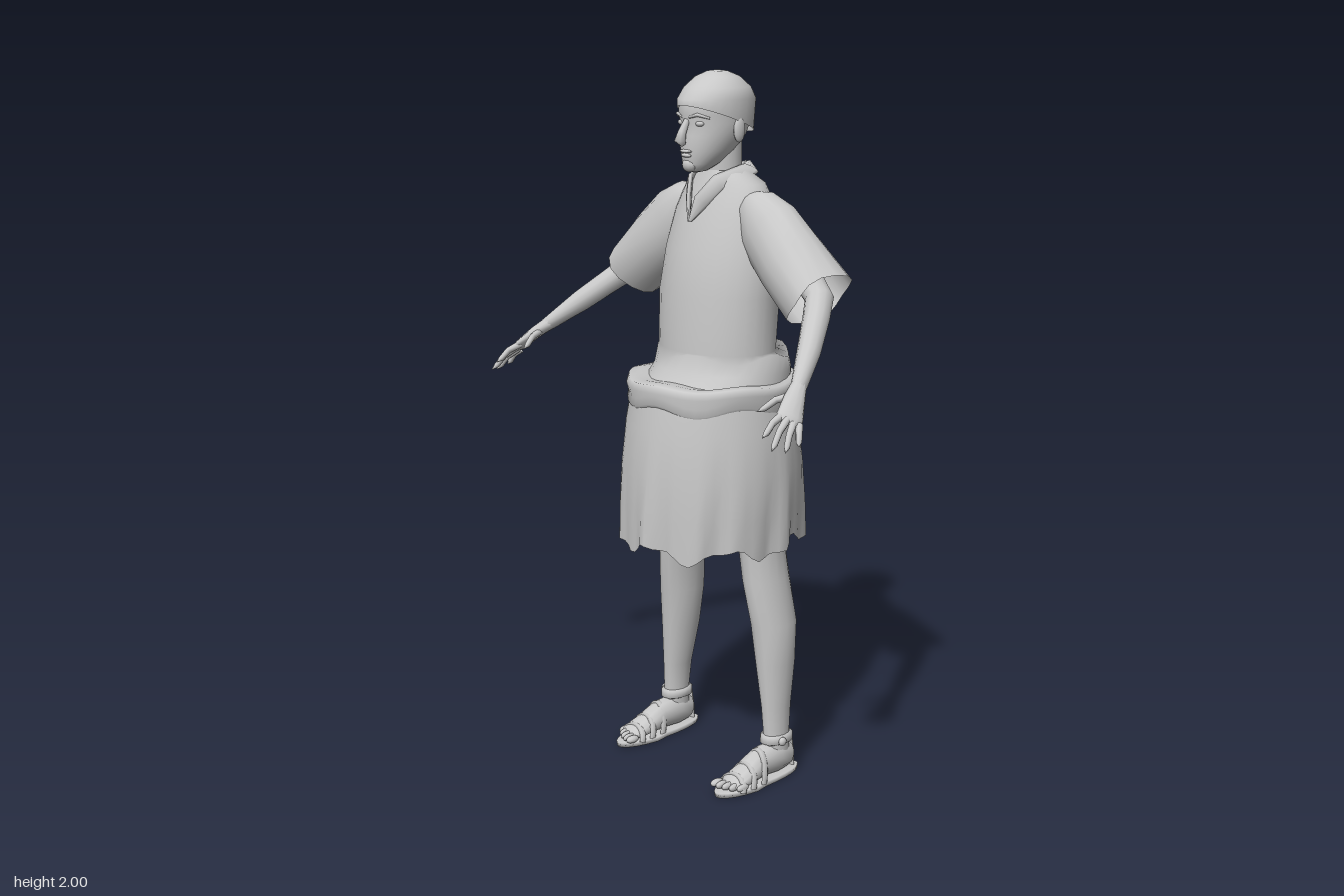
import * as THREE from 'three';

const cloth = new THREE.MeshStandardMaterial({ color: 0xc8c8c8, side: THREE.DoubleSide });
cloth.name = 'plain grey';

// Join rings of equal point count into one smooth skin
function skin(name, rings) {
  const n = rings[0].length, pos = [], idx = [];
  rings.forEach(r => r.forEach(p => pos.push(p.x, p.y, p.z)));
  for (let i = 0; i < rings.length - 1; i++)
    for (let j = 0; j < n; j++) {
      const a = i * n + j, b = i * n + (j + 1) % n;
      idx.push(a, b, b + n, a, b + n, a + n);
    }
  const g = new THREE.BufferGeometry();
  g.setAttribute('position', new THREE.Float32BufferAttribute(pos, 3));
  g.setIndex(idx);
  g.computeVertexNormals();
  const m = new THREE.Mesh(g, cloth);
  m.name = name;
  return m;
}

// Level cross-sections from bottom to top: [y, centre x, half width, front z, back z]
function loft(name, sections, n = 24, warp) {
  return skin(name, sections.map(([y, cx, rx, zf, zb], i) =>
    Array.from({ length: n }, (_, j) => {
      const a = j / n * Math.PI * 2;
      const p = new THREE.Vector3(cx + rx * Math.sin(a), y, (zf + zb) / 2 + (zf - zb) / 2 * Math.cos(a));
      if (warp) warp(p, a, i);
      return p;
    })));
}

// Limb along a path: [x, y, z, radius across, radius along ref]
function limb(name, path, ref = [0, 0, 1], n = 12, warp) {
  const c = path.map(p => new THREE.Vector3(p[0], p[1], p[2]));
  return skin(name, path.map((p, i) => {
    const d = c[Math.min(i + 1, c.length - 1)].clone().sub(c[Math.max(i - 1, 0)]).normalize();
    const v = new THREE.Vector3(...ref);
    v.addScaledVector(d, -v.dot(d)).normalize();
    const u = d.clone().cross(v);
    return Array.from({ length: n }, (_, j) => {
      const a = j / n * Math.PI * 2;
      const q = c[i].clone().addScaledVector(u, p[3] * Math.sin(a)).addScaledVector(v, p[4] * Math.cos(a));
      if (warp) warp(q, a, i);
      return q;
    });
  }));
}

function ball(name, x, y, z, rx, ry, rz) {
  const m = new THREE.Mesh(new THREE.SphereGeometry(1, 12, 8), cloth);
  m.position.set(x, y, z);
  m.scale.set(rx, ry, rz);
  m.name = name;
  return m;
}

function makeHead() {
  const g = new THREE.Group();
  g.name = 'head';
  g.add(loft('neck', [[1.6, 0, 0.06, -0.01, -0.13], [1.7, 0, 0.054, -0.015, -0.125], [1.82, 0, 0.056, -0.01, -0.125]], 16));
  g.add(loft('face', [
    [1.73, 0, 0.004, 0.03, 0.02], [1.735, 0, 0.025, 0.052, -0.01], [1.755, 0, 0.046, 0.06, -0.05],
    [1.79, 0, 0.066, 0.062, -0.1], [1.83, 0, 0.08, 0.062, -0.135], [1.862, 0, 0.085, 0.055, -0.148],
    [1.885, 0, 0.086, 0.064, -0.15], [1.93, 0, 0.086, 0.06, -0.155], [1.97, 0, 0.06, 0.02, -0.12]]));
  // Close cap, its rim high on the brow and low at the nape
  g.add(loft('cap', [
    [1.87, 0, 0.091, 0.068, -0.16], [1.925, 0, 0.093, 0.067, -0.168], [1.955, 0, 0.084, 0.045, -0.15],
    [1.983, 0, 0.058, 0.01, -0.115], [1.997, 0, 0.028, -0.025, -0.08], [2, 0, 0.001, -0.05, -0.052]], 24,
    (p, a, i) => { if (i === 0) p.y += 0.04 * Math.cos(a); }));
  g.add(limb('nose', [[0, 1.872, 0.056, 0.008, 0.008], [0, 1.84, 0.073, 0.011, 0.012],
    [0, 1.818, 0.081, 0.017, 0.014], [0, 1.808, 0.07, 0.01, 0.008]], [0, 0, 1], 8));
  g.add(ball('upperLip', 0, 1.789, 0.06, 0.024, 0.005, 0.009));
  g.add(ball('lowerLip', 0, 1.778, 0.058, 0.02, 0.006, 0.009));
  g.add(ball('chin', 0, 1.752, 0.047, 0.024, 0.02, 0.018));
  for (const s of [-1, 1]) {
    g.add(ball('eye', s * 0.036, 1.863, 0.042, 0.014, 0.008, 0.01));
    g.add(limb('brow', [[s * 0.014, 1.88, 0.06, 0.004, 0.004], [s * 0.04, 1.887, 0.054, 0.005, 0.005],
      [s * 0.064, 1.878, 0.03, 0.003, 0.003]], [0, 1, 0], 6));
    g.add(ball('ear', s * 0.086, 1.845, -0.055, 0.01, 0.034, 0.019));
  }
  return g;
}

function makeClothes() {
  const g = new THREE.Group();
  g.name = 'clothes';
  g.add(loft('tunic', [
    [1.14, 0, 0.215, 0.15, -0.255], [1.19, 0, 0.208, 0.105, -0.252], [1.232, 0, 0.2, 0.094, -0.245],
    [1.245, 0, 0.188, 0.09, -0.195], [1.4, 0, 0.19, 0.085, -0.2], [1.52, 0, 0.186, 0.06, -0.212],
    [1.62, 0, 0.165, 0.03, -0.2], [1.7, 0, 0.13, -0.002, -0.17], [1.735, 0, 0.07, -0.015, -0.135]], 32,
    (p, a, i) => {
      if (i === 2) p.y += 0.012 * Math.sin(5 * a);
      // Two soft hollows down the back
      if (i > 3 && i < 7) p.z += 0.012 * Math.max(0, -Math.cos(a)) * Math.cos(6 * a + Math.PI);
    }));
  // Skirt with folds that deepen towards the ragged hem
  g.add(loft('skirt', [
    [0.7, 0, 0.25, 0.225, -0.3], [0.8, 0, 0.254, 0.225, -0.297], [0.92, 0, 0.256, 0.22, -0.29],
    [1.04, 0, 0.243, 0.208, -0.278], [1.14, 0, 0.225, 0.19, -0.265]], 72,
    (p, a, i) => {
      const fold = Math.sin(11 * a + 1) * 0.6 + Math.sin(19 * a) * 0.4;
      const k = 1 + [0.055, 0.035, 0.008, 0, 0][i] * fold;
      p.x *= k;
      p.z = -0.036 + (p.z + 0.036) * k;
      if (i === 0) p.y += 0.018 * Math.sin(7 * a + 0.5) + 0.008 * Math.cos(16 * a);
    }));
  // Rolled sash
  g.add(loft('sash', [
    [1.09, 0, 0.225, 0.19, -0.265], [1.105, 0, 0.236, 0.205, -0.28], [1.125, 0, 0.232, 0.2, -0.275],
    [1.145, 0, 0.24, 0.207, -0.285], [1.165, 0, 0.234, 0.2, -0.28], [1.168, 0, 0.212, 0.17, -0.258],
    [1.158, 0, 0.2, 0.1, -0.245]], 48,
    (p, a, i) => { p.y += (i < 3 ? 0.012 : 0.004) * Math.sin(6 * a + 0.7); }));
  for (const s of [-1, 1]) {
    g.add(limb('collar', [
      [0, 1.735, -0.15, 0.025, 0.006], [s * 0.05, 1.735, -0.13, 0.025, 0.006],
      [s * 0.076, 1.725, -0.07, 0.024, 0.007], [s * 0.058, 1.705, -0.005, 0.024, 0.008],
      [s * 0.026, 1.655, 0.028, 0.022, 0.008], [s * 0.002, 1.6, 0.048, 0.005, 0.004]],
      [s * 0.7, 0.25, 0.5], 8));
    // Wide open sleeve
    g.add(limb('sleeve', [
      [s * 0.11, 1.67, -0.075, 0.02, 0.03], [s * 0.13, 1.645, -0.077, 0.062, 0.058],
      [s * 0.18, 1.585, -0.08, 0.098, 0.078], [s * 0.27, 1.505, -0.08, 0.1, 0.093],
      [s * 0.375, 1.42, -0.08, 0.094, 0.1]], [0, 0, 1], 16,
      (p, a, i) => { if (i === 4) p.x += s * 0.012 * Math.cos(3 * a); }));
  }
  return g;
}

function makeArm(s) {
  const g = new THREE.Group();
  g.name = s > 0 ? 'leftArm' : 'rightArm';
  g.add(limb('arm', [
    [s * 0.22, 1.56, -0.08, 0.045, 0.045], [s * 0.32, 1.475, -0.085, 0.04, 0.042],
    [s * 0.38, 1.425, -0.075, 0.036, 0.04], [s * 0.42, 1.385, -0.025, 0.035, 0.036],
    [s * 0.48, 1.315, 0.06, 0.031, 0.031], [s * 0.535, 1.245, 0.148, 0.019, 0.021]], [0, 0, 1]));
  g.add(limb('palm', [
    [s * 0.528, 1.253, 0.138, 0.02, 0.02], [s * 0.55, 1.225, 0.175, 0.017, 0.028],
    [s * 0.575, 1.188, 0.215, 0.013, 0.035], [s * 0.581, 1.178, 0.226, 0.006, 0.028]], [-s * 0.6, 0.4, 0.6]));
  // Four fingers and a thumb: knuckle then tip
  [[0.56, 1.195, 0.225, 0.57, 1.15, 0.303], [0.575, 1.185, 0.225, 0.6, 1.122, 0.3],
    [0.587, 1.175, 0.215, 0.618, 1.116, 0.27], [0.593, 1.17, 0.2, 0.622, 1.125, 0.228],
    [0.537, 1.232, 0.165, 0.498, 1.195, 0.255]].forEach(([x, y, z, u, v, w], i) => {
    g.add(limb(i < 4 ? 'finger' : 'thumb', [
      [s * x, y, z, 0.01, 0.011], [s * (x + u) / 2, (y + v) / 2 + 0.008, (z + w) / 2, 0.009, 0.009],
      [s * (x + 4 * u) / 5, (y + 4 * v) / 5, (z + 4 * w) / 5, 0.008, 0.008], [s * u, v, w, 0.001, 0.001]], [0.2, 0.8, 0.5], 8));
  });
  return g;
}

function makeLeg(s) {
  const g = new THREE.Group();
  g.name = s > 0 ? 'leftLeg' : 'rightLeg';
  const f = s * 0.222;
  g.add(loft('leg', [
    [0.05, f, 0.032, -0.045, -0.13], [0.13, f, 0.03, -0.045, -0.13], [0.22, s * 0.218, 0.034, -0.04, -0.138],
    [0.35, s * 0.208, 0.048, -0.03, -0.157], [0.47, s * 0.2, 0.058, -0.02, -0.165],
    [0.6, s * 0.182, 0.05, 0, -0.157], [0.7, s * 0.166, 0.055, 0, -0.15], [0.95, s * 0.12, 0.085, 0.05, -0.18]], 16));
  g.add(limb('foot', [
    [f, 0.05, -0.148, 0.004, 0.004], [f, 0.056, -0.132, 0.028, 0.036], [f, 0.065, -0.085, 0.036, 0.05],
    [f, 0.062, -0.02, 0.037, 0.044], [f + s * 0.004, 0.043, 0.04, 0.042, 0.028],
    [f + s * 0.005, 0.032, 0.085, 0.042, 0.016], [f + s * 0.005, 0.028, 0.1, 0.03, 0.006]], [0, 1, 0]));
  for (let i = 0; i < 5; i++)
    g.add(ball('toe', f + s * (i * 0.0185 - 0.031), 0.029, 0.113 - i * i * 0.002, i ? 0.009 : 0.013, 0.011, 0.022));
  // Flat sole, narrowed at the instep
  g.add(loft('sole', [[0.003, f, 0.001, -0.015, -0.02], [0.003, f, 0.048, 0.142, -0.168],
    [0.018, f, 0.05, 0.144, -0.17], [0.018, f, 0.001, -0.015, -0.02]], 24,
    p => { p.x = f + (p.x - f) * (p.z > 0.02 ? 1.06 : 0.85); }));
  // Sandal straps arching over the foot: [z, height, half width]
  for (const [z, h, w] of [[0.085, 0.054, 0.047], [0.045, 0.075, 0.047], [0, 0.103, 0.042]]) {
    const arch = [];
    for (let i = 0; i <= 10; i++) {
      const a = i / 10 * Math.PI;
      arch.push([f + s * 0.003 + w * Math.cos(a), 0.015 + (h - 0.015) * Math.sin(a), z - 0.015 * Math.sin(a), 0.005, 0.011]);
    }
    g.add(limb('strap', arch, [0, 0, 1], 6));
  }
  // Ankle strap and the heel counter that holds it
  g.add(loft('ankleStrap', [[0.108, f, 0.031, -0.044, -0.132], [0.113, f, 0.04, -0.034, -0.141],
    [0.132, f, 0.04, -0.036, -0.141], [0.137, f, 0.031, -0.044, -0.132]], 16));
  g.add(ball('buckle', f + s * 0.04, 0.122, -0.075, 0.009, 0.013, 0.013));
  g.add(limb('heelStrap', [[f, 0.015, -0.147, 0.014, 0.005], [f, 0.06, -0.146, 0.014, 0.005],
    [f, 0.125, -0.137, 0.012, 0.005]], [0, 0, 1], 6));
  return g;
}

export function createModel() {
  const model = new THREE.Group();
  model.name = 'standingFigure';
  model.add(makeHead(), makeClothes());
  for (const s of [1, -1]) model.add(makeArm(s), makeLeg(s));
  return model;
}
